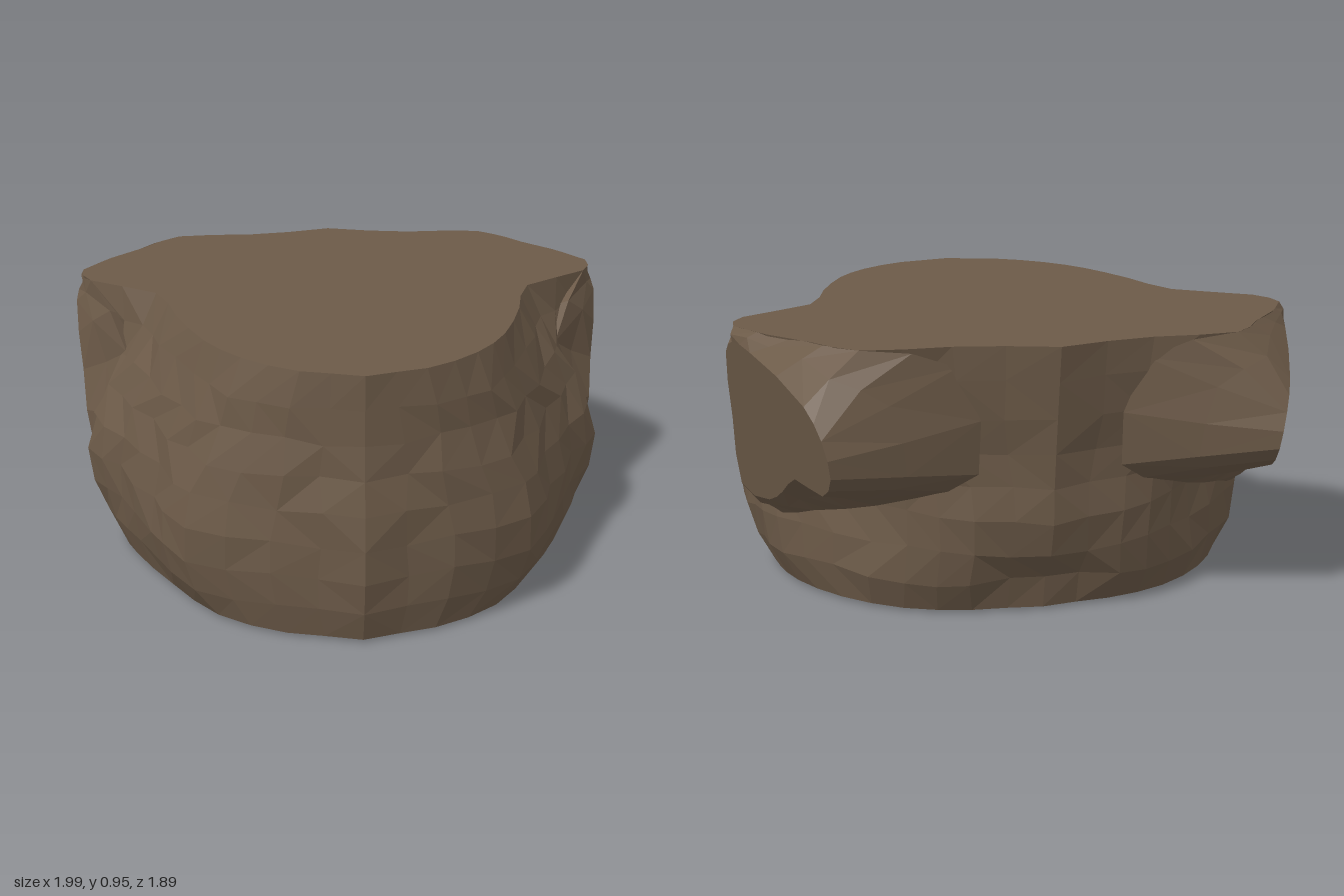
import * as THREE from 'three';

const bark = new THREE.MeshStandardMaterial({ color: 0x6c5a48 });
bark.name = 'brown';

const V = (x, y, z) => new THREE.Vector3(x, y, z);

// Smooth resampling of a few key points
function resample(points, n, closed = false) {
  const curve = new THREE.CatmullRomCurve3(points, closed, 'centripetal');
  const out = [];
  for (let i = 0; i < (closed ? n : n + 1); i++) out.push(curve.getPoint(i / n));
  return out;
}

// Repeatable roughness, the same on both sides
function roughen(p, amount) {
  const a = Math.abs(p.x);
  const s = (k) => Math.sin(a * (31 + k) + p.y * (47 - 3 * k) + p.z * (39 + 5 * k) + k * 2);
  return V(p.x + Math.sign(p.x) * s(1) * amount, p.y + s(2) * amount, p.z + s(3) * amount);
}

// Faceted skin over closed loops, with optional fan caps and an optional rule for openings
function skin(loops, { firstCentre, lastCentre, flip = false, isOpen = () => false }) {
  const pos = [];
  const tri = (a, b, c) => (flip ? [a, c, b] : [a, b, c])
    .forEach((p) => pos.push(flip ? -p.x : p.x, p.y, p.z));
  const n = loops[0].length;
  const last = loops[loops.length - 1];
  for (let i = 0; i < n; i++) {
    const j = (i + 1) % n;
    for (let r = 0; r < loops.length - 1; r++) {
      const quad = [loops[r][i], loops[r][j], loops[r + 1][j], loops[r + 1][i]];
      if (quad.every(isOpen)) continue;
      const [a, b, c, d] = quad;
      // Irregular diagonals break up the grid
      if (Math.sin(i * 12.9 + r * 78.2) > 0) { tri(a, b, c); tri(a, c, d); }
      else { tri(a, b, d); tri(b, c, d); }
    }
    if (firstCentre) tri(firstCentre, loops[0][j], loops[0][i]);
    if (lastCentre) tri(lastCentre, last[i], last[j]);
  }
  const g = new THREE.BufferGeometry();
  g.setAttribute('position', new THREE.Float32BufferAttribute(pos, 3));
  g.computeVertexNormals();
  return g;
}

// Half outlines from front to back at rising heights, as x, z pairs
const base = [[0, .87], [.25, .82], [.48, .68], [.64, .45], [.78, .2], [.84, .03],
  [.83, -.12], [.78, -.28], [.65, -.47], [.46, -.62], [.24, -.69], [0, -.7]];
const foot = [[0, .9], [.28, .83], [.56, .67], [.68, .46], [.81, .22], [.88, .04],
  [.88, -.12], [.82, -.29], [.67, -.49], [.47, -.66], [.25, -.73], [0, -.71]];
const belly = [[0, .93], [.3, .84], [.6, .69], [.71, .48], [.83, .23], [.935, .05],
  [.92, -.12], [.84, -.3], [.67, -.49], [.46, -.69], [.26, -.79], [0, -.82]];
const waist = [[0, .92], [.28, .85], [.56, .7], [.68, .48], [.82, .24], [.94, .05],
  [.91, -.1], [.83, -.28], [.65, -.5], [.46, -.68], [.26, -.78], [0, -.83]];
const shoulder = [[0, .89], [.25, .84], [.46, .71], [.59, .52], [.72, .25], [.81, .01],
  [.83, -.15], [.82, -.35], [.68, -.62], [.5, -.76], [.3, -.8], [0, -.86]];
const top = [[0, .895], [.2, .85], [.38, .71], [.5, .53], [.6, .25], [.68, -.02],
  [.93, -.2], [.97, -.35], [.75, -.66], [.62, -.82], [.33, -.83], [0, -.895]];

function bodyGeometry() {
  const heights = [.01, .1, .27, .45, .7, .95];
  const halves = [base, foot, belly, waist, shoulder, top].map((row, r) =>
    resample(row.map(([x, z]) => V(x, heights[r], z)), 22));
  // Blend upwards between the outlines in even steps
  const count = 8;
  const columns = halves[0].map((_, i) => new THREE.CatmullRomCurve3(
    halves.map((h) => h[i]), false, 'centripetal').getSpacedPoints(count));
  const end = columns.length - 1;
  const loops = [];
  for (let r = 0; r <= count; r++) {
    const rough = r === 0 || r === count ? 0 : .009;
    // Sharp ridges run down the middle of the front and back
    const half = columns.map((c, i) => (i === 0 || i === end
      ? V(0, c[r].y, c[r].z + (i === 0 ? .015 : -.015))
      : roughen(c[r], rough)));
    const mirrored = half.slice(1, -1).reverse().map((p) => V(-p.x, p.y, p.z));
    loops.push([...half, ...mirrored]);
  }
  // Openings behind the stumps
  const isOpen = (p) => Math.abs(p.x) > .42 && p.z < -.2 && p.y > .48 && p.y < .94;
  return skin(loops, { firstCentre: V(0, 0, .05), lastCentre: V(0, .95, -.2), isOpen });
}

// Cut end of a side stump, as z, y pairs on a slanted plane
const cutEnd = [[-.14, .34], [-.38, .35], [-.52, .42], [-.65, .5], [-.85, .5], [-.94, .58],
  [-.93, .7], [-.85, .79], [-.5, .89], [-.36, .9], [-.28, .85], [-.2, .6]];
const cutPoint = ([z, y]) => V(1 + .33 * (z + .24) - .17 * (.8 - y), y, z);

// Where the stump meets the body
const root = [[.9, .3, -.04], [.83, .28, -.32], [.73, .32, -.44], [.63, .35, -.54],
  [.45, .42, -.7], [.24, .52, -.8], [.31, .88, -.82], [.62, .95, -.82],
  [.8, .95, -.59], [.97, .95, -.35], [.93, .95, -.2], [.8, .72, -.04]];

function stumpGeometry(flip) {
  const n = 24;
  const outer = resample(cutEnd.map(cutPoint), n, true);
  const inner = resample(root.map((p) => V(...p)), n, true);
  inner.forEach((p) => { p.y = Math.min(p.y, .95); });
  const core = V(.4, .6, -.4);
  const sunk = inner.map((p) => p.clone().lerp(core, .12));
  const middle = inner.map((p, i) => roughen(p.clone().lerp(outer[i], .5), .008));
  return skin([sunk, inner, middle, outer], { lastCentre: cutPoint([-.52, .66]), flip });
}

export function createModel() {
  const model = new THREE.Group();
  model.name = 'carvedBlock';
  const add = (name, geometry) => {
    const mesh = new THREE.Mesh(geometry, bark);
    mesh.name = name;
    model.add(mesh);
  };
  add('body', bodyGeometry());
  add('leftStump', stumpGeometry(false));
  add('rightStump', stumpGeometry(true));
  return model;
}
